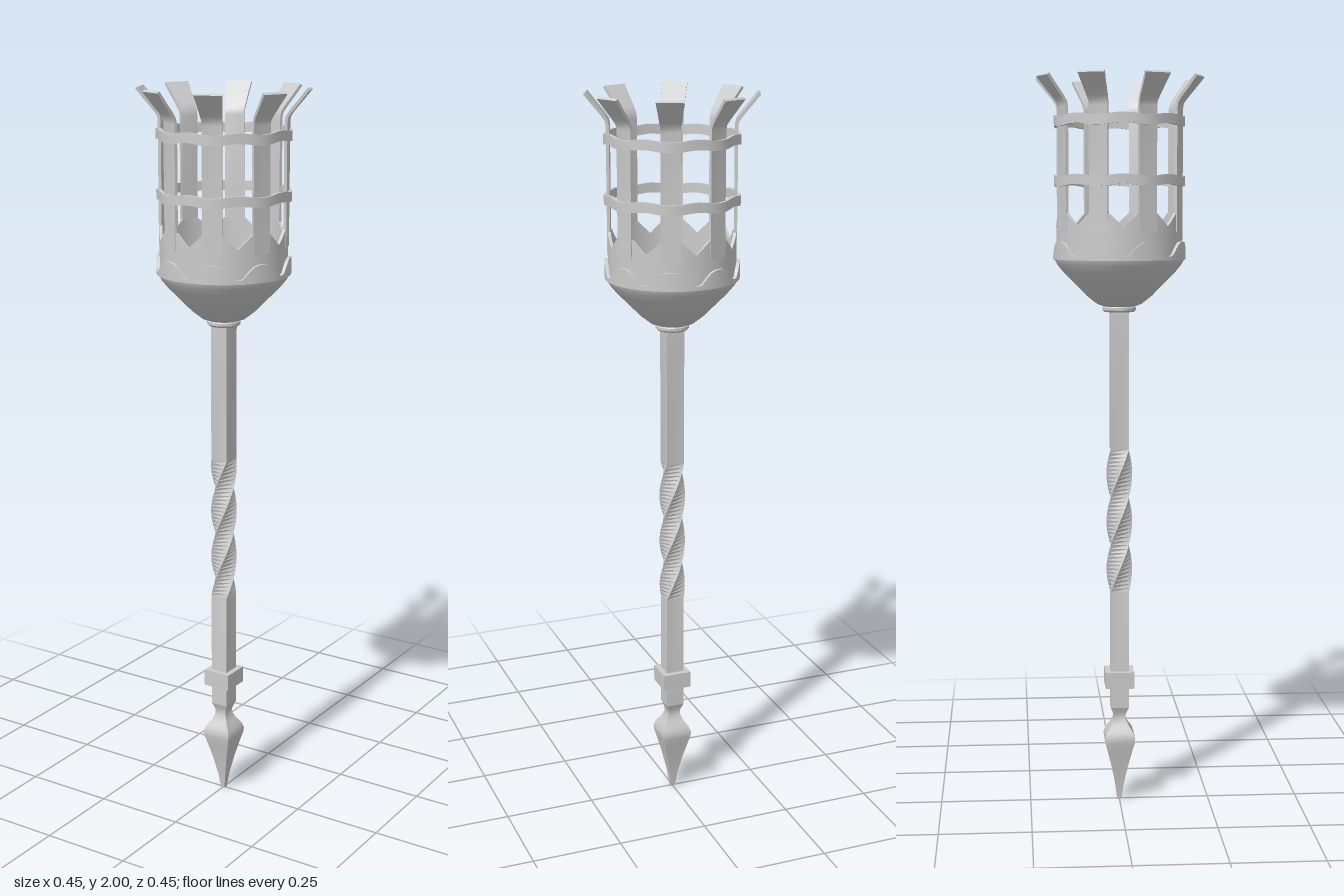
import * as THREE from 'three';
import { toCreasedNormals } from 'three/addons/utils/BufferGeometryUtils.js';

const material = new THREE.MeshStandardMaterial({ color: 0xcccccc });

// Skin a series of four-cornered sections; closed joins the last to the first
function loft(sections, closed = false, crease = 0.5) {
  const pos = [], idx = [], n = 4, count = sections.length;
  sections.forEach(s => s.forEach(p => pos.push(...p)));
  for (let i = 0; i < (closed ? count : count - 1); i++) {
    const a = i * n, b = ((i + 1) % count) * n;
    for (let j = 0; j < n; j++) {
      const k = (j + 1) % n;
      idx.push(a + j, a + k, b + k, a + j, b + k, b + j);
    }
  }
  if (!closed) {
    const e = (count - 1) * n;
    idx.push(0, 2, 1, 0, 3, 2, e, e + 1, e + 2, e, e + 2, e + 3);
  }
  const g = new THREE.BufferGeometry();
  g.setAttribute('position', new THREE.Float32BufferAttribute(pos, 3));
  g.setIndex(idx);
  return toCreasedNormals(g, crease);
}

// Square section of half width w at height y, turned about the y axis
function square(w, y, turn = 0) {
  return [1, 3, 5, 7].map(q => {
    const a = q * Math.PI / 4 + turn, r = w * Math.SQRT2;
    return [r * Math.sin(a), y, r * Math.cos(a)];
  });
}

// Hoop whose section varies; d = steps (0..5) from the middle of the nearest gap
function hoop(section) {
  const steps = 80, rings = [];
  for (let i = 0; i < steps; i++) {
    const m = i % 10, d = Math.min(m, 10 - m), t = i / steps * Math.PI * 2;
    const [rIn, rOut, lo, hi] = section(d);
    rings.push([[rOut, hi], [rOut, lo], [rIn, lo], [rIn, hi]]
      .map(([r, y]) => [r * Math.sin(t), y, r * Math.cos(t)]));
  }
  return loft(rings, true);
}

function lathe(points, crease = 0.6) {
  const g = new THREE.LatheGeometry(points.map(p => new THREE.Vector2(...p)), 48);
  return toCreasedNormals(g, crease);
}

export function createModel() {
  const group = new THREE.Group();
  const add = (name, geometry) => {
    const mesh = new THREE.Mesh(geometry, material);
    mesh.name = name;
    group.add(mesh);
    return mesh;
  };

  // Square shaft with a three-quarter twist in the middle
  const shaft = [square(0.025, 0.27)];
  for (let i = 0; i <= 36; i++) {
    shaft.push(square(0.025, 0.6 + 0.4 * i / 36, 1.5 * Math.PI * i / 36));
  }
  shaft.push(square(0.025, 1.385, 1.5 * Math.PI));
  add('shaft', loft(shaft, false, 0.6));

  // Square collar and spear-shaped foot
  add('collar', new THREE.BoxGeometry(0.08, 0.046, 0.08).translate(0, 0.352, 0));
  const foot = [[0.006, 0], [0.012, 0.045], [0.023, 0.1], [0.034, 0.145], [0.041, 0.172],
    [0.042, 0.185], [0.037, 0.2], [0.024, 0.22], [0.017, 0.237], [0.017, 0.248],
    [0.021, 0.26], [0.025, 0.27]];
  add('spearFoot', loft(foot.map(([w, y]) => square(w, y)), false, 0.7));

  // Round flange under the cup
  add('flange', lathe([[0, 1.374], [0.04, 1.374], [0.045, 1.379], [0.045, 1.386],
    [0.04, 1.392], [0, 1.392]]));

  // Bowl: outside going up, then inside going down
  add('bowl', lathe([[0, 1.388], [0.04, 1.388], [0.06, 1.395], [0.088, 1.417], [0.12, 1.45],
    [0.15, 1.48], [0.168, 1.502], [0.176, 1.517], [0.178, 1.526], [0.165, 1.526],
    [0.156, 1.505], [0.14, 1.482], [0.11, 1.452], [0.08, 1.423], [0.06, 1.406],
    [0.04, 1.4], [0, 1.4]], 0.7));

  // Scalloped lip, highest below each bar
  const scallop = [1.525, 1.53, 1.546, 1.558, 1.563, 1.564];
  add('scallopedLip', hoop(d => [0.167, 0.179, 1.516, scallop[d]]));

  // Basket wall with pointed window bottoms
  add('basketWall', hoop(d => [0.162, 0.17, 1.51, 1.605 + 0.035 * Math.min(d, 3) / 3]));

  // Two slightly wavy bands around the bars
  [1.725, 1.882].forEach((y, i) => add('band' + (i + 1), hoop(d => {
    const wave = Math.cos(d * Math.PI / 5);
    return [0.167 - 0.002 * wave, 0.177 - 0.002 * wave,
      y - 0.013 + 0.003 * wave, y + 0.013 + 0.003 * wave];
  })));

  // Eight upright bars flaring outwards at the top: [radius, height, half width]
  const path = [[0.162, 1.59, 0.026], [0.162, 1.915, 0.026], [0.165, 1.93, 0.026],
    [0.175, 1.945, 0.028], [0.2, 1.975, 0.032], [0.22, 2, 0.036]];
  const bar = loft(path.map(([r, y, w], i) => {
    const a = path[Math.max(i - 1, 0)], b = path[Math.min(i + 1, path.length - 1)];
    const dr = b[0] - a[0], dy = b[1] - a[1], l = Math.hypot(dr, dy);
    const ro = r + 0.008 * dy / l, yo = y - 0.008 * dr / l;
    return [[w, yo, ro], [w, y, r], [-w, y, r], [-w, yo, ro]];
  }));
  for (let i = 0; i < 8; i++) {
    add('bar' + (i + 1), bar).rotation.y = (i + 0.5) * Math.PI / 4;
  }

  return group;
}
